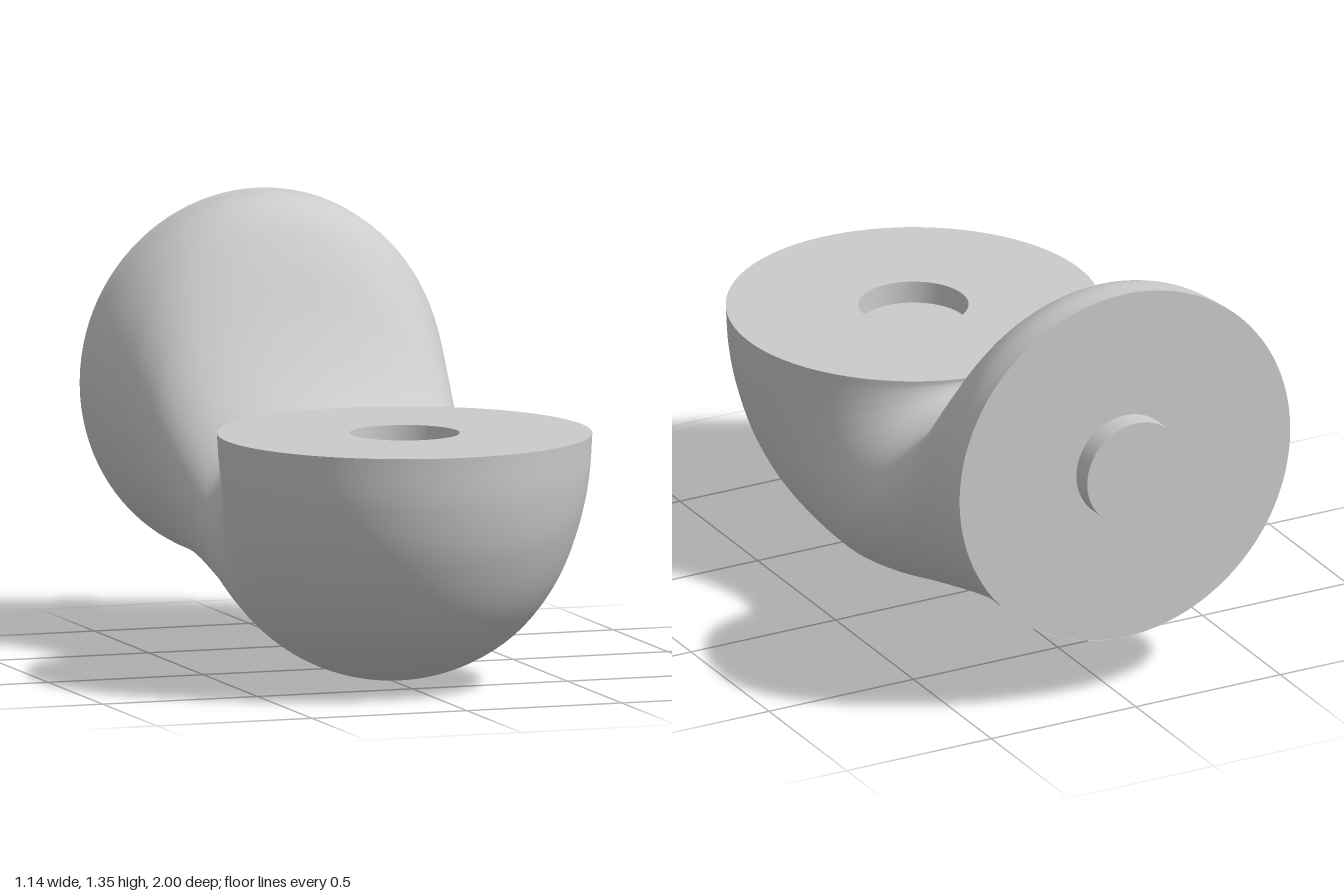
import * as THREE from 'three';

const R = 0.572, PIN_R = 0.168, PIN_DEPTH = 0.07, AXIS_Y = 0.778, BACK_Z = -0.93, SEAT_Z = 0.428;

// Matching stations along the elbow: upper rail (z, y), lower rail (z, y), half width
const stations = [
  [-0.93, 1.35, -0.93, 0.205, 0.572],
  [-0.82, 1.34, -0.8, 0.2, 0.557],
  [-0.73, 1.295, -0.6, 0.175, 0.525],
  [-0.64, 1.19, -0.4, 0.135, 0.497],
  [-0.5, 0.98, -0.1, 0.065, 0.464],
  [-0.39, 0.85, 0.1, 0.018, 0.457],
  [-0.3, 0.775, 0.27, 0, 0.46],
  [-0.23, 0.748, 0.5, 0.034, 0.477],
  [-0.19, 0.745, 0.7, 0.115, 0.503],
  [-0.165, 0.75, 0.85, 0.25, 0.53],
  [-0.15, 0.759, 0.95, 0.44, 0.553],
  [-0.144, 0.768, 0.99, 0.61, 0.566],
  [-0.144, 0.778, 1, 0.778, 0.572],
];

const rail = (pick) => new THREE.CatmullRomCurve3(
  stations.map((s, i) => new THREE.Vector3(...pick(s, i))), false, 'centripetal');

// Elliptical cross-sections lofted between the two rails
function elbowGeometry(rows = 120, cols = 96) {
  const upper = rail((s) => [0, s[1], s[0]]);
  const lower = rail((s) => [0, s[3], s[2]]);
  const width = rail((s, i) => [s[4], i * 0.1, 0]);
  const pos = [], index = [];
  for (let i = 0; i <= rows; i++) {
    const a = upper.getPoint(i / rows), b = lower.getPoint(i / rows);
    const w = width.getPoint(i / rows).x;
    const mid = a.clone().add(b).multiplyScalar(0.5);
    const half = a.sub(b).multiplyScalar(0.5);
    for (let j = 0; j < cols; j++) {
      const t = (j / cols) * Math.PI * 2;
      const p = mid.clone().addScaledVector(half, Math.sin(t));
      pos.push(w * Math.cos(t), p.y, p.z);
      if (i < rows) {
        const k = i * cols + j, n = i * cols + (j + 1) % cols;
        index.push(k, n, k + cols, n, n + cols, k + cols);
      }
    }
  }
  const g = new THREE.BufferGeometry();
  g.setAttribute('position', new THREE.Float32BufferAttribute(pos, 3));
  g.setIndex(index);
  g.computeVertexNormals();
  return g;
}

export function createModel() {
  const group = new THREE.Group();
  const grey = new THREE.MeshStandardMaterial({ color: 0xcccccc });
  const open = new THREE.MeshStandardMaterial({ color: 0xcccccc, side: THREE.DoubleSide });
  const add = (name, geometry, x, y, z, rx = 0, material = grey) => {
    const mesh = new THREE.Mesh(geometry, material);
    mesh.name = name;
    mesh.position.set(x, y, z);
    mesh.rotation.x = rx;
    group.add(mesh);
  };

  add('elbowBody', elbowGeometry(), 0, 0, 0, 0, open);

  // Flat top face with a round socket
  const flat = -Math.PI / 2;
  add('topFace', new THREE.RingGeometry(PIN_R, R, 96), 0, AXIS_Y, SEAT_Z, flat);
  add('socketWall', new THREE.CylinderGeometry(PIN_R, PIN_R, PIN_DEPTH, 64, 1, true),
    0, AXIS_Y - PIN_DEPTH / 2, SEAT_Z, 0, open);
  add('socketFloor', new THREE.CircleGeometry(PIN_R, 64), 0, AXIS_Y - PIN_DEPTH, SEAT_Z, flat);

  // Flat back face with a matching peg
  add('backFace', new THREE.CircleGeometry(R, 96), 0, AXIS_Y, BACK_Z, Math.PI);
  add('peg', new THREE.CylinderGeometry(PIN_R, PIN_R, PIN_DEPTH, 64),
    0, AXIS_Y, BACK_Z - PIN_DEPTH / 2, Math.PI / 2);

  return group;
}
